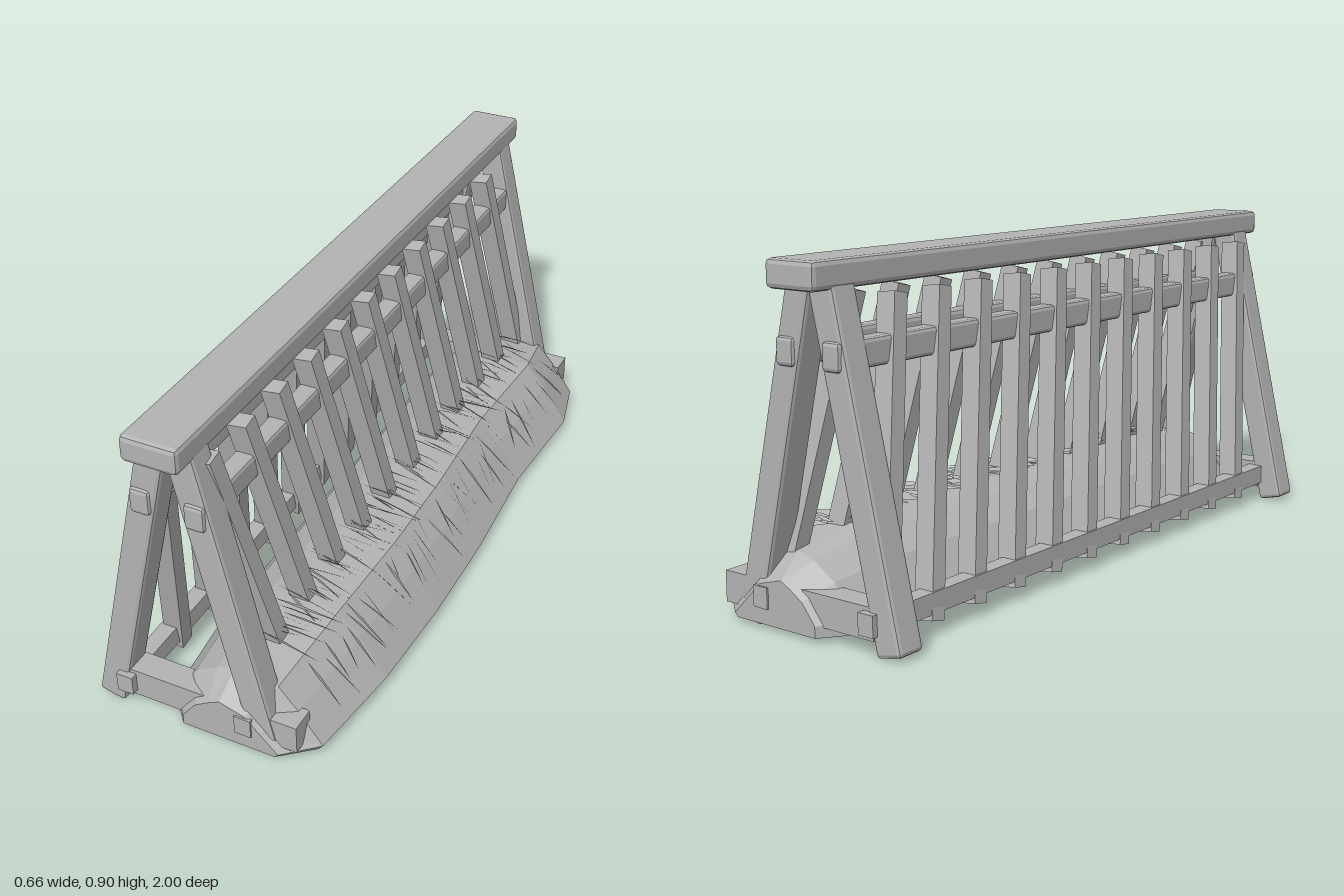
import * as THREE from 'three';
import { RoundedBoxGeometry } from 'three/addons/geometries/RoundedBoxGeometry.js';

const grey = new THREE.MeshStandardMaterial({ color: 0xb3b3b3, flatShading: true, side: THREE.DoubleSide });
const MID = -0.075; // the rack is symmetric about this x

function add(group, name, geometry) {
  const mesh = new THREE.Mesh(geometry, grey);
  mesh.name = name;
  group.add(mesh);
  return mesh;
}

// Bevelled block given by its centre and size
function block(group, name, x, y, z, w, h, d, bevel) {
  const geometry = bevel ? new RoundedBoxGeometry(w, h, d, 1, bevel) : new THREE.BoxGeometry(w, h, d);
  add(group, name, geometry).position.set(x, y, z);
}

// Timber running from point a to point b
function strut(group, name, a, b, w, d, bevel) {
  const dir = b.clone().sub(a);
  const len = dir.length();
  const geometry = bevel ? new RoundedBoxGeometry(w, len, d, 1, bevel) : new THREE.BoxGeometry(w, len, d);
  const mesh = add(group, name, geometry);
  mesh.position.copy(a).add(b).multiplyScalar(0.5);
  mesh.quaternion.setFromUnitVectors(new THREE.Vector3(0, 1, 0), dir.normalize());
}

// Hay cross-sections: full in the middle, small at the ends
const FULL = [[-0.18, 0.015], [-0.17, 0.05], [-0.10, 0.15], [-0.02, 0.20], [0.04, 0.215],
  [0.19, 0.21], [0.25, 0.14], [0.325, 0.03], [0.31, 0.01]];
const END = [[-0.08, 0.01], [-0.08, 0.04], [-0.04, 0.09], [0, 0.115], [0.03, 0.13],
  [0.10, 0.11], [0.14, 0.07], [0.19, 0.02], [0.18, 0.01]];
// Stations along the mound: z, blend towards the end section, sideways swell
const STATIONS = [[-0.95, 1, 0], [-0.88, 0.35, 0], [-0.7, 0.02, 0], [-0.35, 0.04, -0.015],
  [0, 0, 0], [0.3, 0, 0.003], [0.6, 0.03, -0.005], [0.88, 0.35, 0], [0.95, 1, 0]];

function hayMound() {
  const pos = [], index = [], n = FULL.length;
  for (const [z, t, swell] of STATIONS) {
    FULL.forEach(([x, y], i) => pos.push(
      THREE.MathUtils.lerp(x, END[i][0], t) + (i > 4 ? swell : 0),
      THREE.MathUtils.lerp(y, END[i][1], t), z));
  }
  for (let s = 0; s < STATIONS.length - 1; s++) {
    for (let i = 0; i < n - 1; i++) {
      const a = s * n + i, b = a + n;
      index.push(a, b, a + 1, a + 1, b, b + 1);
    }
  }
  // End caps; the underside stays open
  const last = (STATIONS.length - 1) * n;
  for (let i = 1; i < n - 1; i++) {
    index.push(0, i, i + 1, last, last + i + 1, last + i);
  }
  const geometry = new THREE.BufferGeometry();
  geometry.setAttribute('position', new THREE.Float32BufferAttribute(pos, 3));
  geometry.setIndex(index);
  geometry.computeVertexNormals();
  return geometry;
}

// Loose pointed blades lying over the hay
function strawBlades(count) {
  let seed = 11;
  const rnd = (lo, hi) => {
    seed = (seed * 16807) % 2147483647;
    return lo + (hi - lo) * seed / 2147483647;
  };
  const pos = [];
  for (let i = 0; i < count; i++) {
    const z = -0.8 + 1.6 * (i + rnd(0, 1)) / count;
    const slope = i % 3 === 0;
    const root = slope
      ? new THREE.Vector3(rnd(0.18, 0.24), rnd(0.19, 0.22), z)
      : new THREE.Vector3(rnd(-0.02, 0.08), rnd(0.225, 0.25), z);
    const tip = slope
      ? new THREE.Vector3(rnd(0.27, 0.325), rnd(0.06, 0.13), z + rnd(-0.04, 0.04))
      : new THREE.Vector3(rnd(0.14, 0.23), rnd(0.2, 0.225), z + rnd(-0.04, 0.04));
    const half = rnd(0.004, 0.011);
    const belly = root.clone().lerp(tip, 0.35);
    const l = belly.clone().add(new THREE.Vector3(0, 0.008, half));
    const r = belly.clone().add(new THREE.Vector3(0, -0.004, -half));
    for (const p of [root, l, r, l, tip, r]) pos.push(p.x, p.y, p.z);
  }
  const geometry = new THREE.BufferGeometry();
  geometry.setAttribute('position', new THREE.Float32BufferAttribute(pos, 3));
  geometry.computeVertexNormals();
  return geometry;
}

export function createModel() {
  const model = new THREE.Group();
  model.name = 'hayRack';
  const V = (x, y, z) => new THREE.Vector3(x, y, z);

  block(model, 'ridgeBeam', MID, 0.864, 0, 0.15, 0.07, 2, 0.013);

  // A-frame legs and the crossbar at each end
  for (const z of [-0.9, 0.9]) {
    for (const s of [-1, 1]) {
      strut(model, 'leg', V(MID + s * 0.226, 0.005, z), V(MID + s * 0.032, 0.85, z), 0.076, 0.08, 0.01);
    }
    block(model, 'crossbar', -0.008, 0.075, z, 0.486, 0.08, 0.07);
  }

  for (const s of [-1, 1]) {
    block(model, 'upperRail', MID + s * 0.073, 0.68, 0, 0.054, 0.07, 1.9, 0.01);
    block(model, 'lowerRail', MID + s * 0.17, 0.078, 0, 0.046, 0.054, 1.91);
    // Slanted slats on both sides
    for (let i = 0; i < 11; i++) {
      const z = 0.872 - i * 0.16;
      strut(model, 'slat', V(MID + s * 0.17, 0.03, z - 0.165), V(MID + s * 0.065, 0.805, z), 0.055, 0.045);
    }
  }

  add(model, 'hayMound', hayMound());
  add(model, 'strawBlades', strawBlades(130));
  return model;
}
